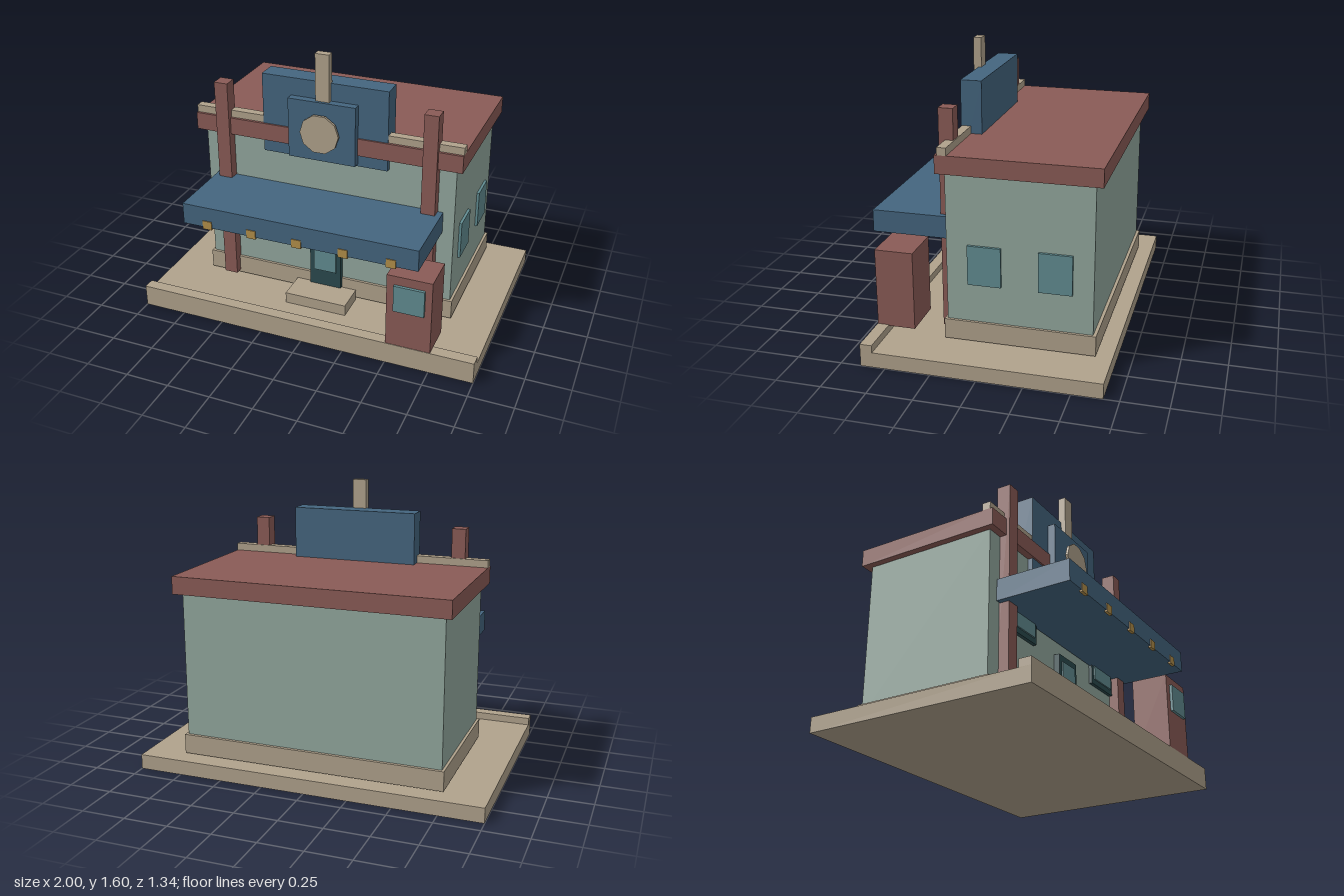
import * as THREE from 'three';

const mat = (name, color) => {
  const m = new THREE.MeshStandardMaterial({ color });
  m.name = name;
  return m;
};

export function createModel() {
  const stone = mat('sandstone', 0xb0a28c);
  const red = mat('brick red', 0x8a5b56);
  const blue = mat('slate blue', 0x44657f);
  const green = mat('sage green', 0x93a89e);
  const glass = mat('teal glass', 0x628d92);
  const dark = mat('dark teal', 0x2b4a4e);
  const gold = mat('amber', 0xb38f4a);

  const model = new THREE.Group();
  model.name = 'shopfront';

  // Box given by its low and high limits on each axis
  const box = (name, material, [x0, x1], [y0, y1], [z0, z1]) => {
    const mesh = new THREE.Mesh(new THREE.BoxGeometry(x1 - x0, y1 - y0, z1 - z0), material);
    mesh.position.set((x0 + x1) / 2, (y0 + y1) / 2, (z0 + z1) / 2);
    mesh.name = name;
    model.add(mesh);
    return mesh;
  };

  // Ground: pavement, kerb and doorstep
  box('pavement', stone, [-1, 1], [0, 0.085], [-0.667, 0.637]);
  box('kerb', stone, [-1, 1], [0.085, 0.127], [0.57, 0.637]);
  box('doorstep', stone, [-0.185, 0.185], [0.085, 0.15], [0.25, 0.425]);

  // Building shell
  box('plinth', stone, [-0.76, 0.76], [0.098, 0.21], [-0.58, 0.245]);
  box('walls', green, [-0.745, 0.745], [0.15, 1.04], [-0.562, 0.23]);
  box('roof', red, [-0.785, 0.785], [1.035, 1.135], [-0.605, 0.27]);
  box('parapet', stone, [-0.785, 0.785], [1.135, 1.177], [0.205, 0.255]);

  // Front posts and windows, mirrored
  for (const s of [-1, 1]) {
    const span = (c, w) => [s * c - w / 2, s * c + w / 2];
    box('post', red, span(0.61, 0.08), [0.115, 1.347], [0.21, 0.29]);
    box('frontWindowFrame', dark, span(0.44, 0.25), [0.53, 0.75], [0.225, 0.25]);
    box('frontWindowGlass', glass, span(0.44, 0.205), [0.562, 0.72], [0.25, 0.258]);
  }

  // Door
  box('door', dark, [-0.095, 0.095], [0.125, 0.56], [0.225, 0.265]);
  box('doorGlass', glass, [-0.068, 0.068], [0.252, 0.52], [0.265, 0.273]);

  // Side windows
  for (const z of [0.022, -0.36])
    box('sideWindow', glass, [0.74, 0.76], [0.425, 0.645], [z - 0.091, z + 0.091]);

  // Awning with a row of lamps
  box('awning', blue, [-0.682, 0.682], [0.642, 0.765], [0.235, 0.664]);
  for (let i = -2; i <= 2; i++) {
    const x = i * 0.267;
    box('awningLamp', gold, [x - 0.027, x + 0.027], [0.632, 0.682], [0.652, 0.669]);
  }

  // Roof sign: back board, front board, mast and ten-sided disc
  box('signBoard', blue, [-0.367, 0.367], [0.967, 1.43], [0.143, 0.26]);
  box('signPanel', blue, [-0.196, 0.196], [0.983, 1.328], [0.26, 0.305]);
  box('signMast', stone, [-0.04, 0.04], [1.15, 1.597], [0.243, 0.288]);
  const discShape = new THREE.CylinderGeometry(0.113, 0.113, 0.016, 10).toNonIndexed();
  discShape.rotateY(Math.PI / 2).rotateX(Math.PI / 2);
  discShape.computeVertexNormals();
  const disc = new THREE.Mesh(discShape, stone);
  disc.position.set(0, 1.156, 0.333);
  disc.name = 'signDisc';
  model.add(disc);

  // Kiosk with a screen
  box('kiosk', red, [0.502, 0.755], [0.122, 0.565], [0.42, 0.634]);
  box('kioskScreen', glass, [0.545, 0.717], [0.355, 0.513], [0.634, 0.65]);

  return model;
}
